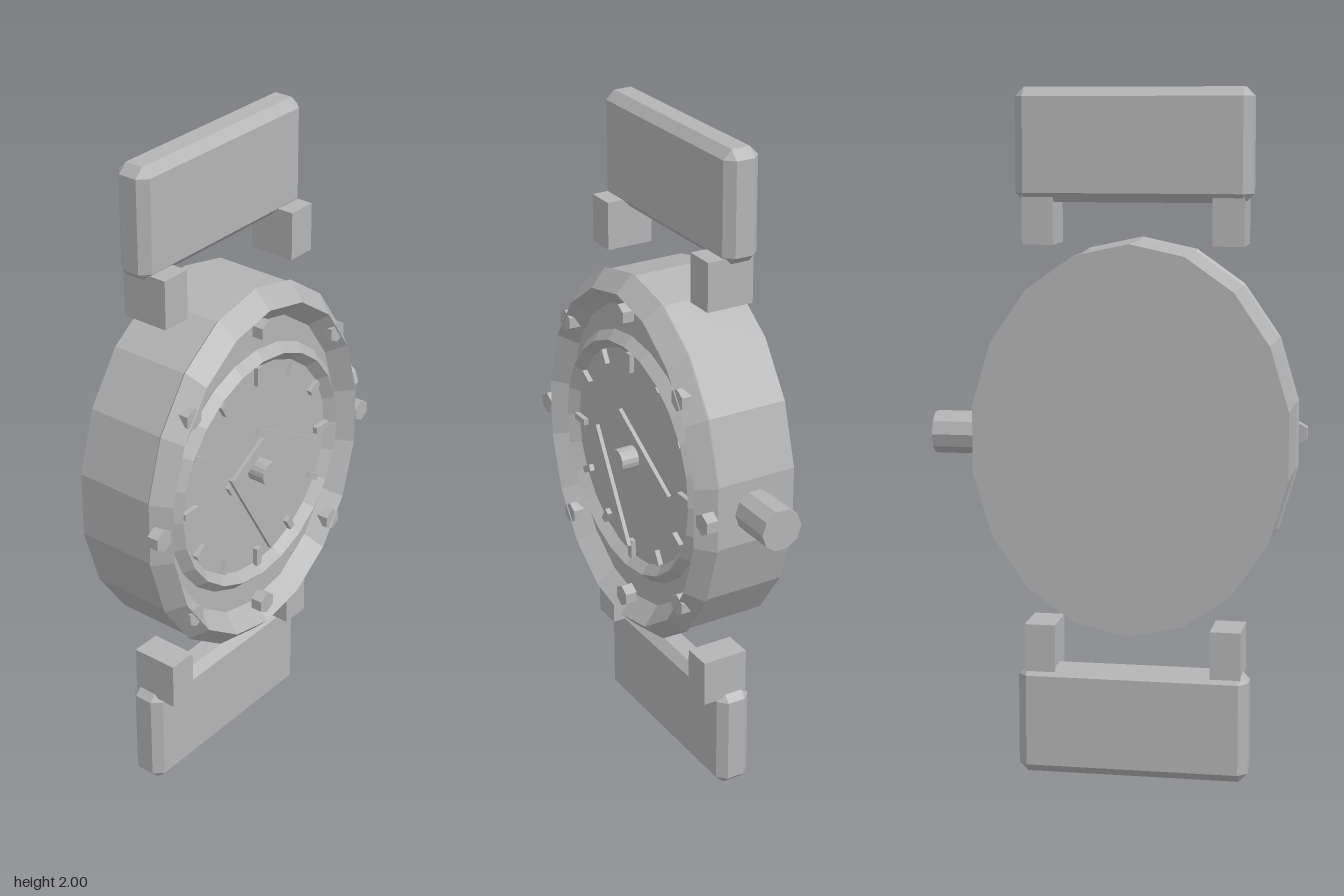
import * as THREE from 'three';
import { ConvexGeometry } from 'three/addons/geometries/ConvexGeometry.js';

const metal = new THREE.MeshStandardMaterial({ color: 0xb4b4b4 });
metal.name = 'plain grey';
metal.flatShading = true;

const CX = -0.057; // case centre
const CY = 1.003;
const OVAL = 0.82; // width to height ratio of the case

function add(parent, name, geometry, x, y, z) {
  const mesh = new THREE.Mesh(geometry, metal);
  mesh.name = name;
  mesh.position.set(x, y, z);
  parent.add(mesh);
  return mesh;
}

// Cylinder pointing forward, with a corner at the top
const disc = (r, depth, sides) => new THREE.CylinderGeometry(r, r, depth, sides).rotateX(Math.PI / 2);

// Box with all twelve edges cut at 45 degrees
function chamferBox(w, h, d, c) {
  const points = [];
  for (const sx of [-1, 1]) for (const sy of [-1, 1]) for (const sz of [-1, 1]) {
    for (let k = 0; k < 3; k++) {
      points.push(new THREE.Vector3(
        sx * (w / 2 - (k === 0 ? 0 : c)),
        sy * (h / 2 - (k === 1 ? 0 : c)),
        sz * (d / 2 - (k === 2 ? 0 : c))));
    }
  }
  return new ConvexGeometry(points);
}

export function createModel() {
  const model = new THREE.Group();
  model.name = 'wristwatch';

  // Oval case and diamond-section bezel
  add(model, 'case', disc(0.5625, 0.25, 18).scale(OVAL, 1, 1), CX, CY, -0.03);
  add(model, 'bezel', new THREE.TorusGeometry(0.518, 0.052, 4, 18).rotateZ(Math.PI / 2).scale(OVAL, 1, 1), CX, CY, 0.096);

  // Dial and its round rim
  const face = new THREE.Group();
  face.name = 'face';
  face.position.set(CX, CY, 0);
  model.add(face);
  add(face, 'dial', disc(0.345, 0.02, 24), 0, 0, 0.09);
  add(face, 'dialRim', new THREE.TorusGeometry(0.354, 0.027, 4, 24), 0, 0, 0.1);

  // Hour markers
  for (let i = 0; i < 12; i++) {
    const a = i * Math.PI / 6;
    const length = i % 3 === 0 ? 0.058 : 0.044;
    const marker = add(face, 'hourMarker', new THREE.BoxGeometry(0.02, length, 0.02),
      Math.sin(a) * 0.302, Math.cos(a) * 0.302, 0.105);
    marker.rotation.z = -a;
  }

  // Bezel studs
  for (let i = 0; i < 8; i++) {
    const a = i * Math.PI / 4;
    add(face, 'bezelStud', disc(0.033, 0.036, 6), Math.sin(a) * 0.455, Math.cos(a) * 0.455, 0.127);
  }

  // Hands: name, length, width, centre x, y, z, angle
  const hands = [
    ['hourHand', 0.19, 0.034, -0.062, 0.042, 0.118, 30],
    ['minuteHand', 0.32, 0.024, 0.11, 0.062, 0.128, -30],
    ['secondHand', 0.37, 0.009, -0.063, -0.113, 0.134, -60],
  ];
  for (const [name, length, width, x, y, z, angle] of hands) {
    const hand = add(face, name, new THREE.BoxGeometry(length, width, 0.012), x, y, z);
    hand.rotation.z = THREE.MathUtils.degToRad(angle);
  }
  add(face, 'handHub', disc(0.035, 0.055, 16), 0, 0, 0.1275);

  // Winding crown
  add(model, 'crown', new THREE.CylinderGeometry(0.063, 0.063, 0.15, 10).rotateZ(-Math.PI / 2), 0.46, CY, -0.027);

  // Strap ends and lugs, above and below
  for (const s of [1, -1]) {
    add(model, s > 0 ? 'upperStrap' : 'lowerStrap', chamferBox(0.678, 0.322, 0.108, 0.026), CX, 1 + s * 0.839, -0.054);
    for (const side of [-1, 1]) {
      add(model, 'lug', new THREE.BoxGeometry(0.09, 0.143, 0.143), CX + side * 0.273, 1.003 + s * 0.626, -0.025);
    }
  }
  return model;
}
